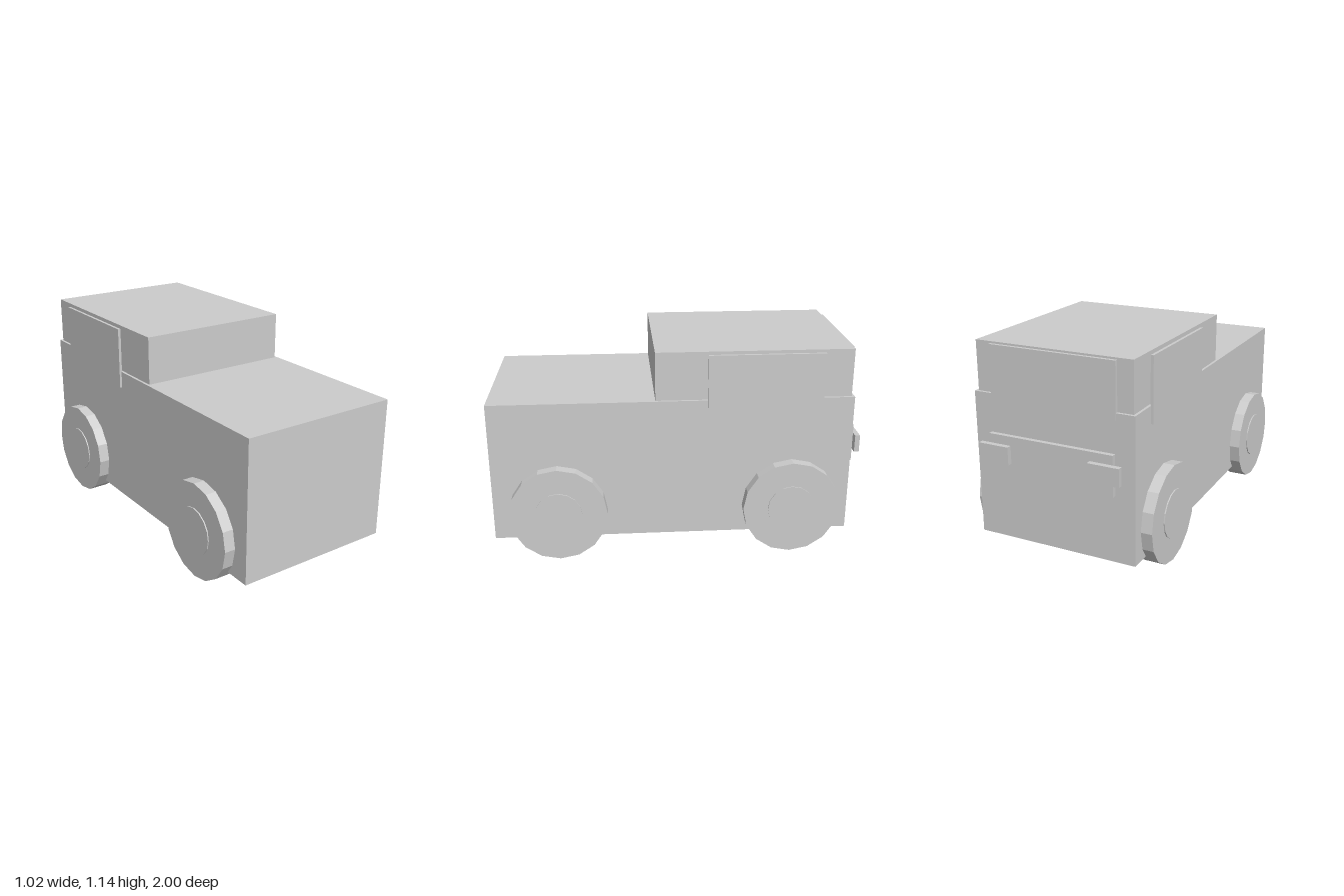
import * as THREE from 'three';

export function createModel() {
  const car = new THREE.Group();
  car.name = 'car';
  const grey = new THREE.MeshStandardMaterial({ color: 0xcccccc, flatShading: true });
  grey.name = 'plain grey';

  // Box given by its extents along each axis
  function box(name, [x0, x1], [y0, y1], [z0, z1]) {
    const mesh = new THREE.Mesh(new THREE.BoxGeometry(x1 - x0, y1 - y0, z1 - z0), grey);
    mesh.position.set((x0 + x1) / 2, (y0 + y1) / 2, (z0 + z1) / 2);
    mesh.name = name;
    car.add(mesh);
  }

  // Sixteen-sided disc with its axle along x
  function disc(name, radius, x0, x1) {
    const geometry = new THREE.CylinderGeometry(radius, radius, x1 - x0, 16);
    geometry.rotateZ(Math.PI / 2);
    const mesh = new THREE.Mesh(geometry, grey);
    mesh.position.x = (x0 + x1) / 2;
    mesh.name = name;
    return mesh;
  }

  // Body, cabin and rear fittings
  box('body', [-0.444, 0.444], [0.11, 0.88], [-0.937, 1]);
  box('cabin', [-0.43, 0.43], [0.88, 1.14], [-0.922, 0.12]);
  box('rearWindow', [-0.345, 0.345], [0.78, 1.13], [-0.939, -0.915]);
  box('rearPanel', [-0.345, 0.345], [0.47, 0.683], [-0.973, -0.949]);

  for (const side of [1, -1]) {
    const span = (a, b) => (side > 0 ? [a, b] : [-b, -a]);
    const label = side > 0 ? 'left' : 'right';

    // Side window and tail light
    box(label + 'Window', span(0.441, 0.456), [0.788, 1.126], [-0.768, -0.155]);
    box(label + 'TailLight', span(0.222, 0.39), [0.54, 0.635], [-1, -0.973]);

    // Wheels with raised hubs
    for (const [end, z] of [['Front', 0.648], ['Rear', -0.615]]) {
      const wheel = new THREE.Group();
      wheel.name = label + end + 'Wheel';
      wheel.add(disc('tyre', 0.264, ...span(0.393, 0.504)));
      wheel.add(disc('hub', 0.129, ...span(0.45, 0.51)));
      wheel.position.set(0, 0.267, z);
      car.add(wheel);
    }
  }
  return car;
}
